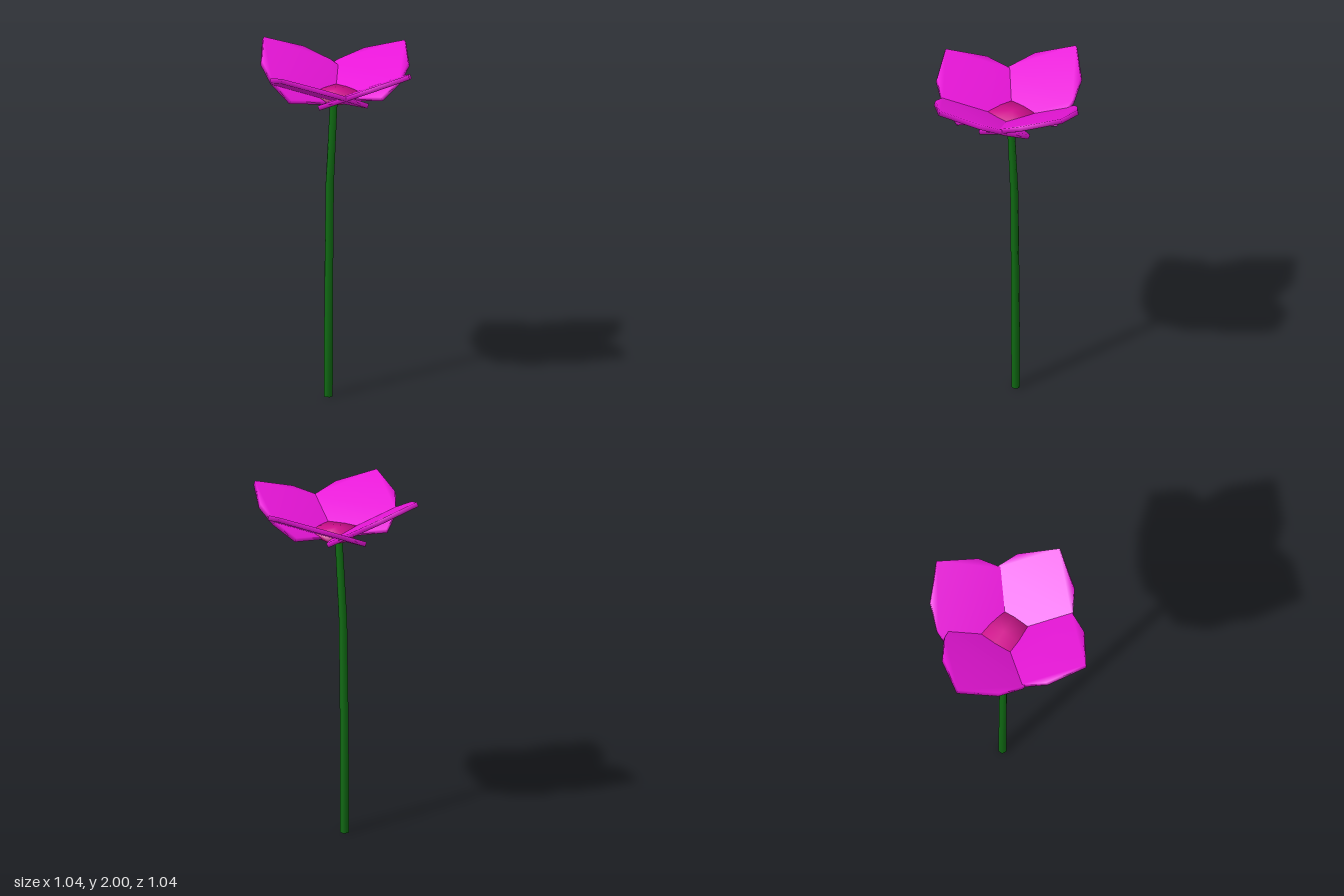
import * as THREE from 'three';
import { mergeVertices } from 'three/addons/utils/BufferGeometryUtils.js';

const material = (color) => new THREE.MeshStandardMaterial({ color });

// Weld all corners so the shading runs smoothly over every edge
function soften(geometry) {
  geometry.deleteAttribute('uv');
  geometry.deleteAttribute('normal');
  const welded = mergeVertices(geometry, 1e-4);
  welded.computeVertexNormals();
  return welded;
}

// Thin slab with a pointed tip, wide near its base; y runs outward
function petalGeometry(tilt, thickness = 0.027) {
  const half = [[0.285, 0.09], [0.262, 0.24], [0.187, 0.37]];
  const outline = [[0, -0.01], ...half, [0, 0.505], ...half.map(([x, r]) => [-x, r]).reverse()];
  const points = outline.map(([x, r]) => new THREE.Vector2(x, r / Math.cos(tilt)));
  const geometry = new THREE.ExtrudeGeometry(new THREE.Shape(points), { depth: thickness, bevelEnabled: false });
  geometry.rotateX(Math.PI / 2 - tilt);
  return soften(geometry);
}

export function createModel() {
  const flower = new THREE.Group();
  flower.name = 'flower';

  // Stem: upright, leaning towards the blossom in its upper part
  const stemRings = [[0, -0.057, 0.025], [0.62, -0.054, 0.024], [1.24, -0.046, 0.023], [1.72, -0.018, 0.021]];
  const stemGeometry = new THREE.CylinderGeometry(1, 1, 3, 6, 3);
  const p = stemGeometry.attributes.position;
  for (let i = 0; i < p.count; i++) {
    const [y, x, radius] = stemRings[Math.round(p.getY(i) + 1.5)];
    p.setXYZ(i, x + p.getX(i) * radius, y, 0.012 + p.getZ(i) * radius);
  }
  const stem = new THREE.Mesh(soften(stemGeometry), material(0x0f6a12));
  stem.name = 'stem';
  flower.add(stem);

  // Heart: shallow cup closed by a nearly flat top
  const heartProfile = [[0, 1.695], [0.08, 1.712], [0.15, 1.772], [0, 1.782]];
  const heartGeometry = new THREE.LatheGeometry(heartProfile.map(([r, y]) => new THREE.Vector2(r, y)), 8);
  const heart = new THREE.Mesh(soften(heartGeometry), material(0xd41090));
  heart.name = 'heart';
  heart.position.set(-0.015, 0, -0.01);
  flower.add(heart);

  // Four crossing petals; the back one is turned a little, the right one is steeper
  const petals = new THREE.Group();
  petals.name = 'petals';
  const petalMaterial = material(0xe815d8);
  const placements = [
    ['frontPetal', 0, 0.425, [0.012, 1.738, 0.008]],
    ['leftPetal', Math.PI / 2, 0.425, [0.004, 1.735, 0.014]],
    ['backPetal', Math.PI - 0.2, 0.425, [-0.025, 1.738, -0.012]],
    ['rightPetal', -Math.PI / 2, 0.495, [-0.004, 1.726, 0.014]],
  ];
  for (const [name, turn, tilt, position] of placements) {
    const petal = new THREE.Mesh(petalGeometry(tilt), petalMaterial);
    petal.name = name;
    petal.rotation.y = turn;
    petal.position.set(...position);
    petals.add(petal);
  }
  flower.add(petals);

  return flower;
}
